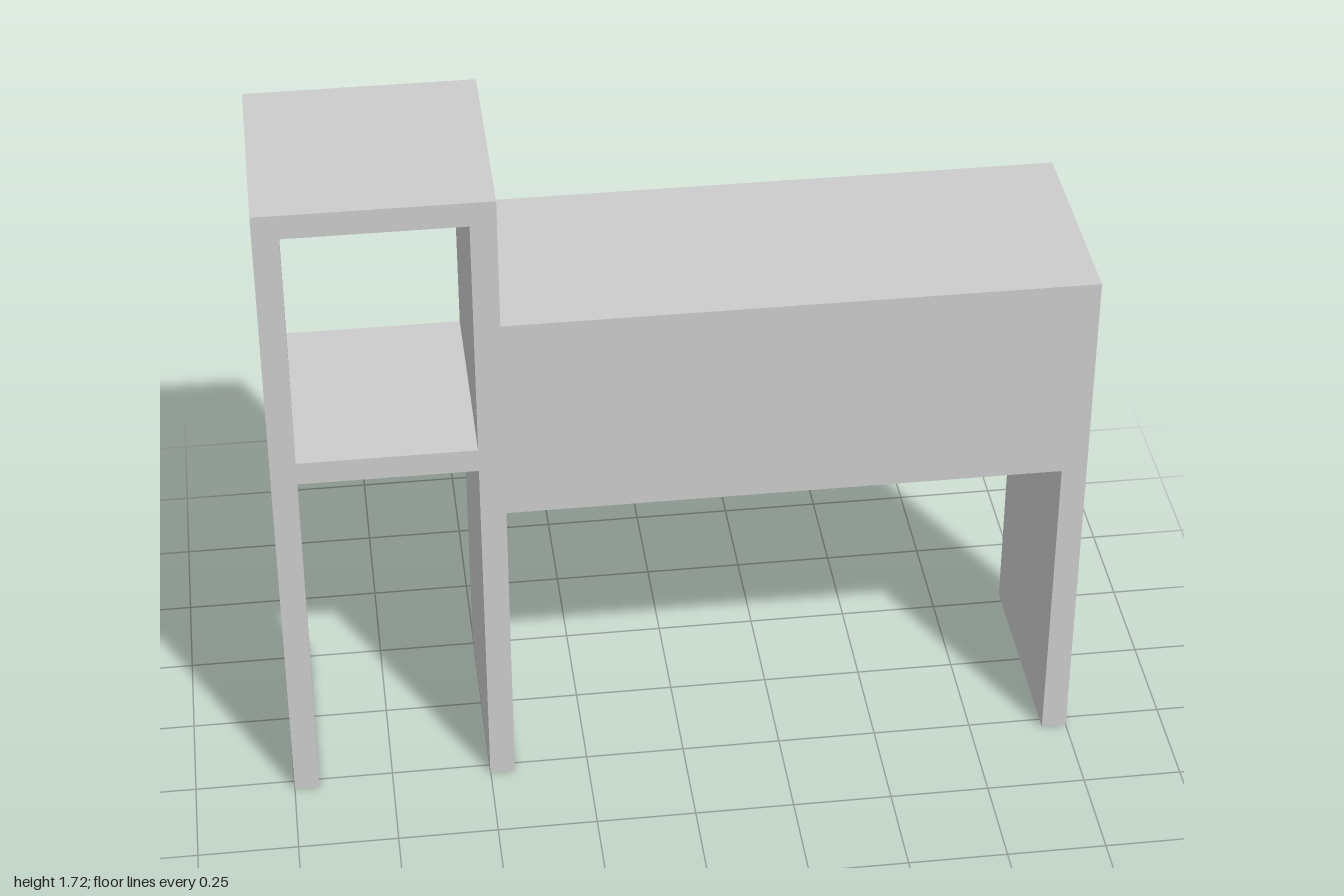
import * as THREE from 'three';

export function createModel() {
  const group = new THREE.Group();
  group.name = 'deskWithShelfTower';
  const material = new THREE.MeshStandardMaterial({ color: 0xcccccc });
  const D = 0.28; // half depth
  const T = 0.063; // board thickness

  // Axis-aligned board given by its extents
  function board(name, x0, x1, y0, y1, z0 = -D, z1 = D) {
    const mesh = new THREE.Mesh(new THREE.BoxGeometry(x1 - x0, y1 - y0, z1 - z0), material);
    mesh.name = name;
    mesh.position.set((x0 + x1) / 2, (y0 + y1) / 2, (z0 + z1) / 2);
    group.add(mesh);
  }

  const towerInner = -0.438;
  const towerTop = 1.715;
  const deskTop = 1.37;

  // Shelf tower
  board('towerOuterSide', -1, -1 + T, 0, towerTop - T);
  board('towerInnerSide', towerInner - T, towerInner, 0, towerTop - T);
  board('towerTop', -1, towerInner, towerTop - T, towerTop);
  board('towerShelf', -1 + T, towerInner - T, 0.957, 1.018);

  // Desk
  board('deskLeg', 1 - T, 1, 0, deskTop);
  board('deskTop', towerInner, 1 - T, deskTop - 0.15, deskTop);
  board('frontPanel', towerInner, 1 - T, 0.824, deskTop - 0.15, D - 0.05, D);

  return group;
}
